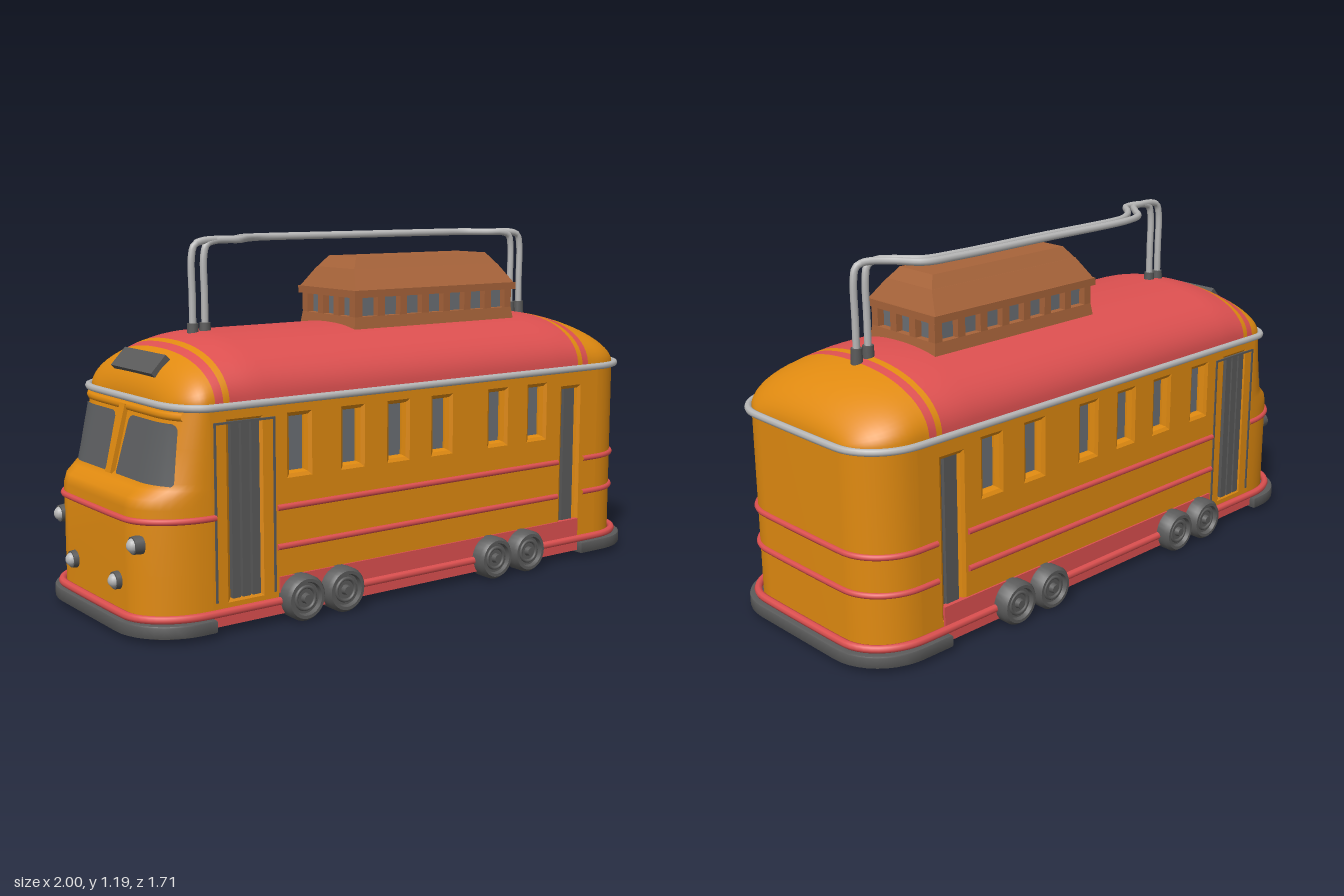
import * as THREE from 'three';
import { toCreasedNormals } from 'three/addons/utils/BufferGeometryUtils.js';

const mat = (color, side = THREE.FrontSide) => new THREE.MeshStandardMaterial({ color, side });
const ORANGE = mat(0xe08a10), RED = mat(0xdd5050), BROWN = mat(0xa8643a);
const DARK = mat(0x5a5a5a), GLASS = mat(0x6c7075), STEEL = mat(0xb8b8b8);
const ORANGE2 = mat(0xe08a10, THREE.DoubleSide), RED2 = mat(0xdd5050, THREE.DoubleSide);
const GLASS2 = mat(0x5c5e60, THREE.DoubleSide);
const V = (x, y, z) => new THREE.Vector3(x, y, z);
const B = 0.355, RV = 0.16; // half width and corner radius of the body

function add(parent, name, geo, material, x = 0, y = 0, z = 0) {
  const m = new THREE.Mesh(geo, material);
  m.name = name;
  m.position.set(x, y, z);
  parent.add(m);
  return m;
}
const box = (w, h, d) => new THREE.BoxGeometry(w, h, d);

// Surface through a row of equal-length point rings
function skin(rings) {
  const n = rings[0].length, index = [];
  for (let i = 0; i < rings.length - 1; i++)
    for (let j = 0; j < n - 1; j++) {
      const a = i * n + j, b = a + n;
      index.push(a, b, a + 1, b, b + 1, a + 1);
    }
  const g = new THREE.BufferGeometry().setFromPoints(rings.flat());
  g.setIndex(index);
  g.computeVertexNormals();
  return g;
}

// Box whose top face is resized
function taper(w, h, d, tw, td) {
  const g = box(w, h, d), p = g.attributes.position;
  for (let i = 0; i < p.count; i++)
    if (p.getY(i) > 0) p.setXYZ(i, p.getX(i) * tw / w, p.getY(i), p.getZ(i) * td / d);
  g.computeVertexNormals();
  return g;
}

// U-shaped plan outline round one end (s = -1 front, 1 rear), as [x, z] pairs
function endPath(s, tip, corner, start, b = B, rv = RV) {
  const half = [[s * start, b], [s * (start + corner) / 2, b]];
  for (let i = 0; i <= 10; i++) {
    const a = i / 10 * Math.PI / 2;
    half.push([s * (corner + (tip - corner) * Math.sin(a)), b - rv + rv * Math.cos(a)]);
  }
  return [...half, ...half.map(([x, z]) => [x, -z]).reverse()];
}
const loop = (front, rear) => [...front, ...rear.slice().reverse()];
const at = (path, y) => path.map(([x, z]) => V(x, y, z));
const tube = (pts, r, closed = false, seg = 160) =>
  new THREE.TubeGeometry(new THREE.CatmullRomCurve3(pts, closed), seg, r, 8, closed);

// Plan shape extruded upward from y = 0
function plate(path, h) {
  const g = new THREE.ExtrudeGeometry(new THREE.Shape(path.map(([x, z]) => new THREE.Vector2(x, -z))),
    { depth: h, bevelEnabled: true, bevelSize: 0.006, bevelThickness: 0.006, bevelSegments: 2 });
  return toCreasedNormals(g.rotateX(-Math.PI / 2), 0.6);
}

// Roof cross-section at station u: rounded arch that shrinks towards both ends
function arch(u) {
  const [e, tip, s] = u < 0 ? [0.80, 0.885, 0.60] : [0.83, 1.0, 0.60];
  const fall = (from) => Math.sqrt(Math.max(0, 1 - Math.max(0, (Math.abs(u) - from) / (tip - from)) ** 2));
  const w = B - RV + RV * fall(e), h = 0.19 * fall(s);
  return Array.from({ length: 33 }, (_, i) => {
    const a = i / 32 * Math.PI, c = Math.cos(a), k = 2 / 2.25;
    return V(u, 0.70 + h * Math.sin(a) ** k, w * Math.sign(c) * Math.abs(c) ** k);
  });
}
function roofBand(u0, u1, n) {
  // stations crowd towards the outer end
  return skin(Array.from({ length: n + 1 }, (_, i) => arch(u0 + (u1 - u0) * Math.sin(i / n * Math.PI / 2))));
}

function rectHole(u0, u1, y0, y1) {
  return new THREE.Path([[u0, y0], [u0, y1], [u1, y1], [u1, y0]].map((p) => new THREE.Vector2(...p)));
}

function buildSide() {
  const g = new THREE.Group();
  // Wall with sloped recesses for windows and doors
  const wall = new THREE.Shape([[-0.8, 0.04], [0.83, 0.04], [0.83, 0.7], [-0.8, 0.7]].map((p) => new THREE.Vector2(...p)));
  const windows = [-0.48, -0.275, -0.09, 0.095, 0.345, 0.53];
  for (const u of windows) wall.holes.push(rectHole(u - 0.047, u + 0.047, 0.455, 0.66));
  wall.holes.push(rectHole(-0.745, -0.615, 0.095, 0.66), rectHole(0.645, 0.745, 0.095, 0.64));
  add(g, 'sideWall', new THREE.ExtrudeGeometry(wall,
    { depth: 0.01, bevelThickness: 0.025, bevelSize: 0.016, bevelSegments: 2 }), ORANGE, 0, 0, 0.32);
  for (const u of windows) add(g, 'sideWindow', box(0.09, 0.2, 0.01), GLASS, u, 0.555, 0.317);
  // Doors
  add(g, 'frontDoor', box(0.12, 0.56, 0.02), DARK, -0.68, 0.38, 0.325);
  for (const u of [-0.716, -0.68, -0.644])
    add(g, 'frontDoorLeaf', box(0.028, 0.545, 0.03), DARK, u, 0.378, 0.343);
  for (const u of [-0.785, -0.575]) add(g, 'doorFrame', box(0.007, 0.55, 0.01), DARK, u, 0.375, 0.354);
  add(g, 'doorFrame', box(0.217, 0.007, 0.01), DARK, -0.68, 0.65, 0.354);
  add(g, 'rearDoor', box(0.09, 0.54, 0.02), DARK, 0.695, 0.367, 0.325);
  add(g, 'rearDoorLeaf', box(0.05, 0.53, 0.02), DARK, 0.695, 0.367, 0.337);
  // Trim and skirt
  for (const y of [0.365, 0.24])
    add(g, 'sideStripe', new THREE.CylinderGeometry(0.01, 0.01, 1.2, 8).rotateZ(Math.PI / 2), RED, 0.035, y, 0.356);
  add(g, 'skirt', box(1.3, 0.11, 0.02), RED, 0.09, 0.09, 0.351);
  add(g, 'lowerSkirt', box(1.62, 0.04, 0.03), RED, 0, 0.048, 0.352);
  // Wheels in pairs
  for (const u of [-0.49, -0.335, 0.305, 0.46]) {
    const w = new THREE.Group();
    w.name = 'wheel';
    w.position.set(u, 0.074, 0.375);
    const profile = [[0.001, 0.022], [0.05, 0.022], [0.054, 0.036], [0.064, 0.036], [0.073, 0.024], [0.073, -0.03], [0.001, -0.03]];
    add(w, 'tyre', toCreasedNormals(new THREE.LatheGeometry(
      profile.map((p) => new THREE.Vector2(...p)).reverse(), 28).rotateX(Math.PI / 2), 0.7), DARK);
    add(w, 'wheelRing', new THREE.TorusGeometry(0.036, 0.006, 8, 24), DARK, 0, 0, 0.023);
    add(w, 'hub', new THREE.CylinderGeometry(0.014, 0.018, 0.02, 14).rotateX(Math.PI / 2), DARK, 0, 0, 0.028);
    g.add(w);
  }
  return g;
}

function buildLantern() {
  // Raised, windowed roof box
  const g = new THREE.Group();
  g.name = 'roofLantern';
  g.position.x = 0.23;
  add(g, 'lanternBase', taper(0.72, 0.07, 0.33, 0.7, 0.31), BROWN, 0, 0.88, 0);
  add(g, 'lanternGlass', box(0.65, 0.1, 0.26), GLASS, 0, 0.95, 0);
  for (const s of [-1, 1]) {
    for (let i = 0; i <= 7; i++) add(g, 'lanternPost', box(0.03, 0.1, 0.03), BROWN, -0.335 + i * 0.67 / 7, 0.95, s * 0.14);
    for (let i = 1; i < 3; i++) add(g, 'lanternPost', box(0.03, 0.1, 0.03), BROWN, s * 0.335, 0.95, -0.14 + i * 0.28 / 3);
  }
  add(g, 'lanternLedge', box(0.72, 0.025, 0.335), BROWN, 0, 0.992, 0);
  add(g, 'lanternRoof', taper(0.71, 0.07, 0.33, 0.64, 0.22), BROWN, 0, 1.037, 0);
  add(g, 'lanternCap', taper(0.64, 0.04, 0.22, 0.58, 0.16), BROWN, 0, 1.09, 0);
  return g;
}

export function createModel() {
  const root = new THREE.Group();
  root.name = 'tram';
  const tram = new THREE.Group();
  tram.name = 'tramBody';
  tram.rotation.y = THREE.MathUtils.degToRad(36);
  root.add(tram);

  // Sides
  for (const s of [1, -1]) {
    const side = buildSide();
    side.name = s > 0 ? 'leftSide' : 'rightSide';
    side.scale.z = s;
    tram.add(side);
  }

  // Front end with bulging nose and raked windscreen, and plain rounded rear end
  const noseRows = [[0.03, 1.01], [0.2, 1.01], [0.4, 1.01], [0.43, 1.0], [0.455, 0.97], [0.475, 0.945], [0.58, 0.917], [0.705, 0.885]];
  add(tram, 'frontEnd', skin(noseRows.map(([y, tip]) => at(endPath(-1, tip, 0.8, 0.79), y))), ORANGE2);
  add(tram, 'rearEnd', skin([0.03, 0.705].map((y) => at(endPath(1, 1.0, 0.83, 0.82), y))), ORANGE2);
  add(tram, 'floor', plate(loop(endPath(-1, 1.0, 0.8, 0.5, 0.35), endPath(1, 0.99, 0.83, 0.5, 0.35)), 0.02), ORANGE, 0, 0.03, 0);

  // Windscreen panes follow the curved front
  const frontU = (y, v) => {
    const tip = 0.945 - (y - 0.475) * 0.265, k = Math.max(0, (Math.abs(v) - (B - RV)) / RV);
    return -0.8 - (tip - 0.8) * Math.sqrt(1 - k * k);
  };
  const paneRows = [[0.462, 0.02], [0.467, 0.006], [0.475, 0], [0.56, 0.005], [0.635, 0.01], [0.645, 0.017], [0.651, 0.03]];
  for (const s of [-1, 1]) {
    const rows = paneRows.map(([y, inset]) => Array.from({ length: 13 }, (_, i) => {
      const v = s * THREE.MathUtils.lerp(0.035 + inset, 0.315 - inset, i / 12);
      return V(frontU(y, v) - 0.006, y, v);
    }));
    add(tram, 'windscreenPane', skin(rows), GLASS2);
  }
  const post = add(tram, 'windscreenPost', box(0.03, 0.22, 0.035), ORANGE, -0.92, 0.57, 0);
  post.rotation.z = -0.26;
  const brow = Array.from({ length: 17 }, (_, i) => -0.31 + i * 0.62 / 16).map((v) => V(frontU(0.672, v) + 0.002, 0.672, v));
  add(tram, 'windscreenBrow', tube(brow, 0.014, false, 40), ORANGE);

  // Headlights
  for (const s of [-1, 1])
    for (const [y, v, u] of [[0.294, 0.255, -1.0], [0.165, 0.15, -1.012]]) {
      add(tram, 'headlightRim', new THREE.CylinderGeometry(0.027, 0.03, 0.03, 20).rotateZ(Math.PI / 2), DARK, u, y, s * v);
      add(tram, 'headlight', new THREE.SphereGeometry(0.023, 16, 10), STEEL, u - 0.009, y, s * v);
    }

  // Roof: red middle and pinstripes between orange domed ends
  add(tram, 'roofMiddle', skin([-0.73, -0.68, -0.64, -0.6, -0.3, 0, 0.3, 0.6, 0.65, 0.69, 0.73].map(arch)), RED2);
  for (const [s, tip] of [[-1, 0.885], [1, 1.0]]) {
    add(tram, 'roofGap', roofBand(s * 0.73, s * 0.752, 2), ORANGE2);
    add(tram, 'roofStripe', roofBand(s * 0.752, s * 0.78, 2), RED2);
    add(tram, 'roofEnd', roofBand(s * 0.78, s * tip, 14), ORANGE2);
  }
  const sign = add(tram, 'destinationPanel', box(0.025, 0.075, 0.27), DARK, -0.84, 0.803, 0);
  sign.rotation.z = -0.76;

  // Gutter rail, belt stripes and base moulding
  add(tram, 'gutterRail', tube(at(loop(endPath(-1, 0.895, 0.8, 0.5, 0.363), endPath(1, 1.008, 0.83, 0.5, 0.363)), 0.7), 0.012, true, 240), STEEL);
  add(tram, 'frontStripe', tube(at(endPath(-1, 1.011, 0.8, 0.785, 0.356), 0.365), 0.01), RED);
  for (const y of [0.365, 0.24]) add(tram, 'rearStripe', tube(at(endPath(1, 1.001, 0.83, 0.76, 0.356), y), 0.01), RED);
  add(tram, 'baseMoulding', tube(at(loop(endPath(-1, 1.02, 0.82, 0.5, 0.365), endPath(1, 1.015, 0.83, 0.5, 0.365)), 0.07), 0.013, true, 240), RED);

  // Wrap-around bumpers
  for (const [s, start, name] of [[-1, 0.81, 'frontBumper'], [1, 0.74, 'rearBumper']]) {
    const outer = endPath(s, 1.04, 0.85, start, 0.384, 0.19), inner = endPath(s, 0.985, 0.83, start, 0.335, 0.15);
    add(tram, name, plate([...outer, ...inner.reverse()], 0.03), DARK, 0, 0.024, 0);
  }

  tram.add(buildLantern());

  // Twin overhead pipes with dark sockets
  for (const [f, r, v, d] of [[-0.65, 0.78, -0.165, 0], [-0.605, 0.735, -0.13, 0.02]]) {
    const pts = [[f, 0.87, 0], [f, 1.0, 0], [f, 1.13, 0], [f + 0.012, 1.165, 0], [f + 0.05, 1.177, 0],
      [-0.5 + d, 1.177, -0.012 + d], [-0.43 + d, 1.177, -0.08 + d], [-0.38 + d, 1.177, v + 0.03], [-0.29, 1.177, v], [0.1, 1.177, v], [0.48, 1.177, v],
      [0.61 - d, 1.177, v + 0.015], [0.67 - d, 1.177, -0.07 + d], [r - 0.04, 1.177, -0.025], [r - 0.01, 1.165, -0.02],
      [r, 1.13, -0.02], [r, 1.0, -0.02], [r, 0.85, -0.02]];
    add(tram, 'overheadPipe', tube(pts.map((p) => V(...p)), 0.012, false, 140), STEEL);
    add(tram, 'pipeSocket', new THREE.CylinderGeometry(0.018, 0.02, 0.05, 14), DARK, f, 0.89, 0);
    add(tram, 'pipeSocket', new THREE.CylinderGeometry(0.018, 0.02, 0.07, 14), DARK, r, 0.88, -0.02);
  }
  return root;
}
